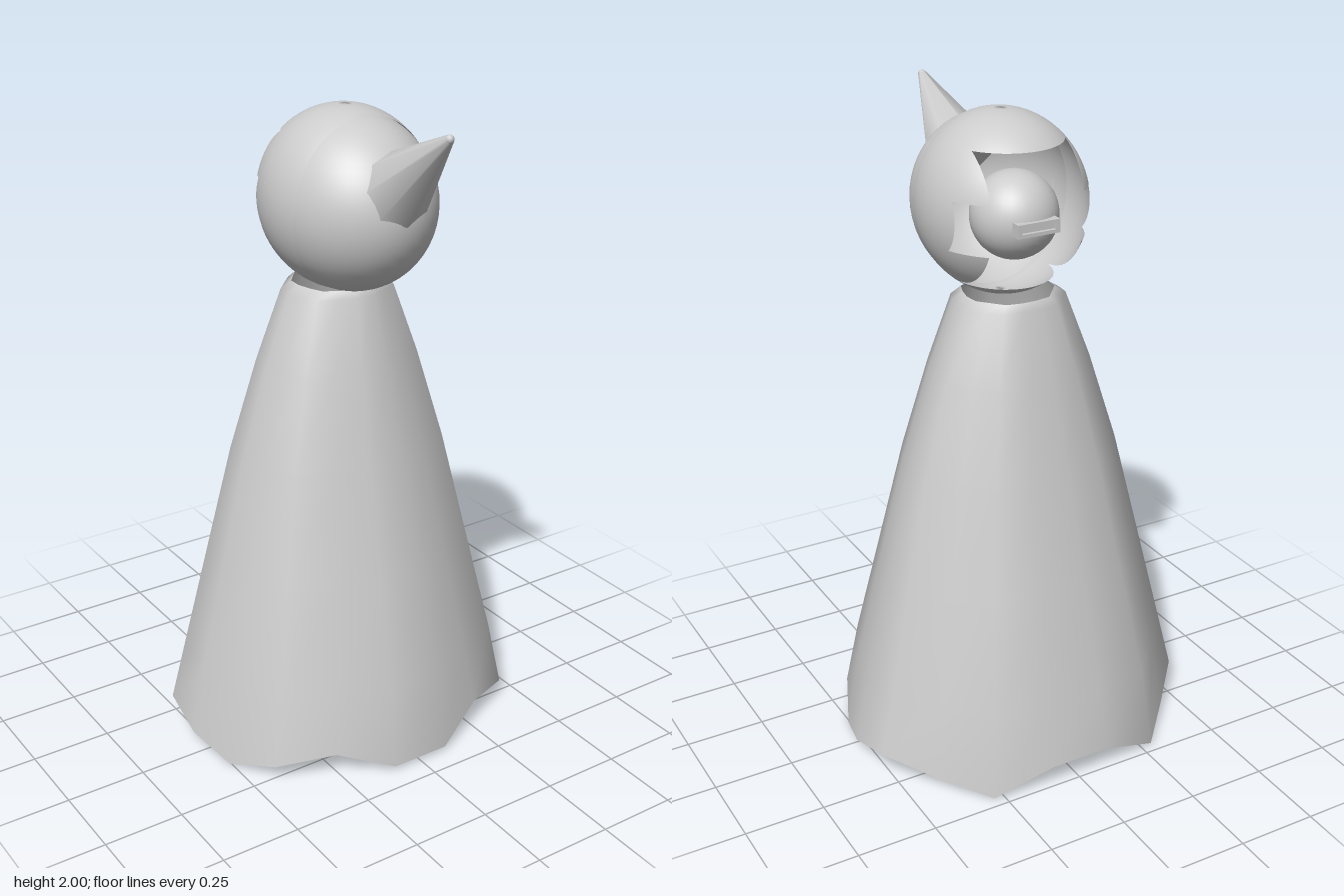
import * as THREE from 'three';
import { ParametricGeometry } from 'three/addons/geometries/ParametricGeometry.js';

const grey = new THREE.MeshStandardMaterial({ color: 0xcccccc, side: THREE.DoubleSide });
grey.name = 'plain grey';

function add(parent, name, geometry, x = 0, y = 0, z = 0) {
  const mesh = new THREE.Mesh(geometry, grey);
  mesh.name = name;
  mesh.position.set(x, y, z);
  parent.add(mesh);
  return mesh;
}

// Flared cloak: a ragged hem outline repeated upward in shrinking rings
function cloakGeometry() {
  const half = [ // x, z, height of the hem
    [0.095, 0.425, 0.02], [0.265, 0.35, 0.085], [0.435, 0.27, 0.06],
    [0.505, 0.11, 0.005], [0.545, -0.045, 0.05], [0.53, -0.21, 0.09],
    [0.41, -0.34, 0.045], [0.285, -0.47, 0.01], [0.095, -0.505, 0.08],
  ];
  const hem = [...half, ...half.slice().reverse().map(([x, z, y]) => [-x, z, y])];
  const rings = [ // height, x scale, z scale
    [null, 1, 1], [0.27, 0.92, 0.915], [0.6, 0.775, 0.745], [0.95, 0.62, 0.57],
    [1.23, 0.46, 0.43], [1.44, 0.315, 0.315], [1.462, 0.25, 0.28],
  ];
  const cz = -0.042, n = hem.length, pos = [], index = [];
  for (const [y, sx, sz] of rings)
    for (const [hx, hz, hy] of hem) pos.push(hx * sx, y ?? hy, cz + (hz - cz) * sz);
  for (let r = 0; r < rings.length - 1; r++)
    for (let i = 0; i < n; i++) {
      const a = r * n + i, b = r * n + (i + 1) % n;
      index.push(a, b, b + n, a, b + n, a + n);
    }
  const g = new THREE.BufferGeometry();
  g.setAttribute('position', new THREE.Float32BufferAttribute(pos, 3));
  g.setIndex(index);
  g.computeVertexNormals();
  return g;
}

// One band of the hood shell, from the back opening round to the front rim
const RX = 0.25, RY = 0.27, RZ = 0.28, RIM = 0.1;
function hoodBand(top, bottom, opening, side) {
  const t0 = Math.acos(top / RY), t1 = Math.acos(bottom / RY);
  return new ParametricGeometry((u, v, p) => {
    const t = t0 + (t1 - t0) * v;
    const s = Math.max(Math.sin(t), 0.0001);
    const start = opening ? Math.asin(Math.min(1, opening / (RX * s))) : 0;
    const end = Math.acos(-Math.min(1, RIM / (RZ * s)));
    const a = side > 0 ? start + (end - start) * u : -end + (end - start) * u;
    p.set(RX * s * Math.sin(a), RY * Math.cos(t), -RZ * s * Math.cos(a));
  }, 24, 10);
}

export function createModel() {
  const model = new THREE.Group();
  model.name = 'cloakedFigure';
  add(model, 'cloak', cloakGeometry());

  const head = new THREE.Group();
  head.name = 'head';
  head.position.set(0, 1.72, 0);
  model.add(head);

  // Hood with a cross-shaped opening at the back
  const bands = [
    [0.27, 0.19, 0], [0.19, 0.06, 0.15], [0.06, -0.09, 0.22],
    [-0.09, -0.215, 0.15], [-0.215, -0.27, 0],
  ];
  for (const [top, bottom, opening] of bands)
    for (const side of [1, -1]) add(head, 'hood', hoodBand(top, bottom, opening, side));

  // Rounded front, tucked just inside the hood rim
  const front = new THREE.SphereGeometry(1, 40, 28, 0, Math.PI);
  front.scale(0.242, 0.262, 0.278);
  add(head, 'frontShell', front, 0, -0.005, 0.03);

  // Beak: blunt eight-sided cone pointing up and forward
  const base = new THREE.Vector3(0, 1.79, 0.24), tip = new THREE.Vector3(0, 1.99, 0.493);
  const axis = tip.clone().sub(base);
  const beak = add(model, 'beak', new THREE.CylinderGeometry(0.012, 0.112, axis.length(), 8));
  beak.position.copy(base).addScaledVector(axis, 0.5);
  beak.quaternion.setFromUnitVectors(new THREE.Vector3(0, 1, 0), axis.normalize());
  add(model, 'beakTip', new THREE.SphereGeometry(0.013, 12, 8), 0, 1.987, 0.489);

  // Small inner ball with a framed slot, seen through the opening
  const ball = new THREE.SphereGeometry(0.13, 32, 24);
  add(model, 'innerBall', ball, 0, 1.7, -0.08);
  const frame = new THREE.Shape();
  const rect = (path, w, h) => path.moveTo(-w, -h).lineTo(w, -h).lineTo(w, h).lineTo(-w, h).closePath();
  rect(frame, 0.068, 0.02);
  const hole = new THREE.Path();
  rect(hole, 0.055, 0.009);
  frame.holes.push(hole);
  add(model, 'slotFrame', new THREE.ExtrudeGeometry(frame, { depth: 0.035, bevelEnabled: false }), 0, 1.695, -0.222);
  add(model, 'slotBack', new THREE.BoxGeometry(0.11, 0.018, 0.012), 0, 1.695, -0.205);
  return model;
}
